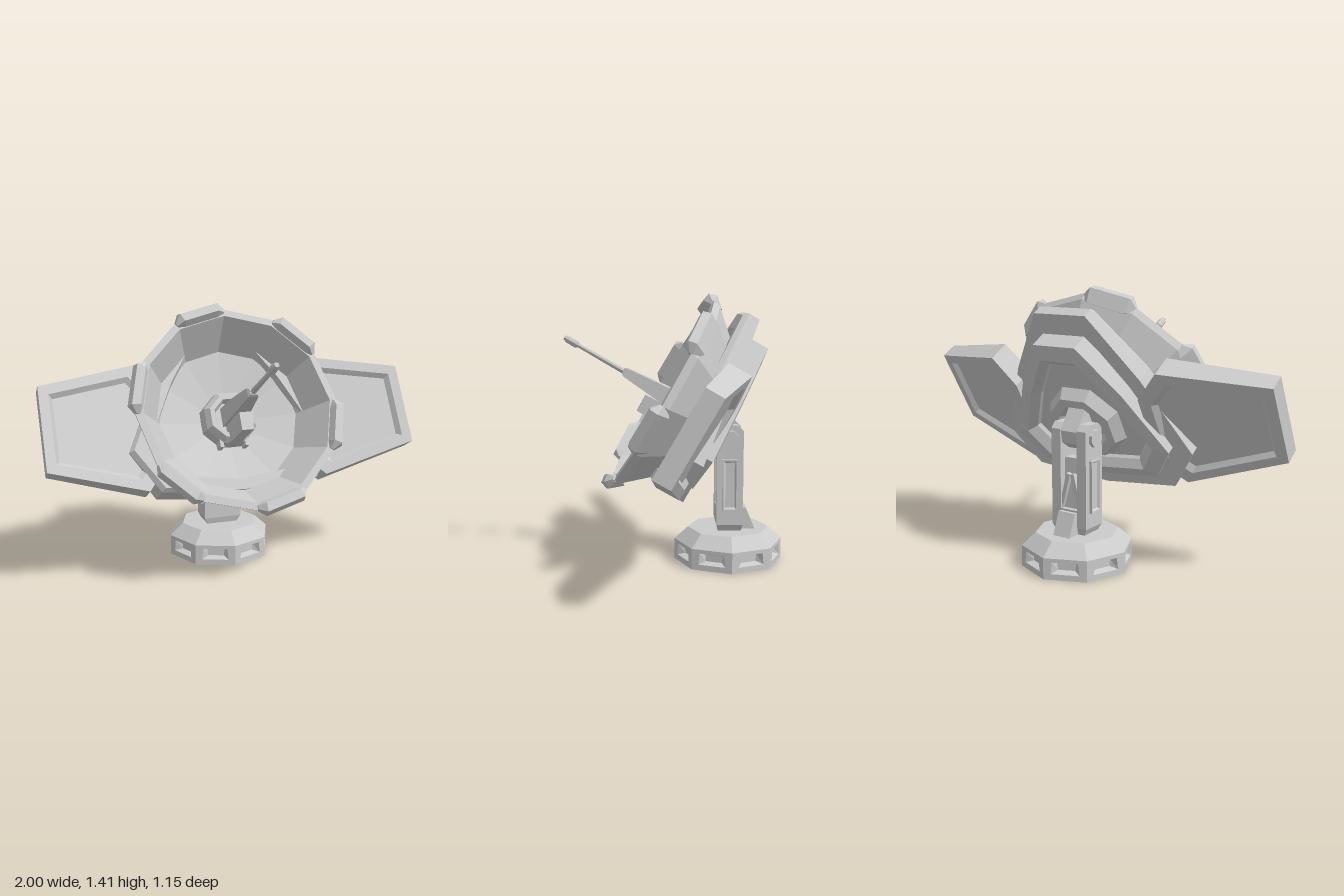
import * as THREE from 'three';

const mat = new THREE.MeshStandardMaterial({ color: 0xcccccc, flatShading: true });

// Skin a list of equal-length loops (counter-clockwise seen from the travel direction)
function loft(name, loops, { start = true, end = true, wrap = false } = {}) {
  const pos = [];
  const tri = (a, b, c) => pos.push(...a, ...b, ...c);
  const n = loops[0].length;
  const all = wrap ? [...loops, loops[0]] : loops;
  for (let j = 0; j < all.length - 1; j++) {
    for (let i = 0; i < n; i++) {
      const k = (i + 1) % n, A = all[j], B = all[j + 1];
      tri(A[i], A[k], B[k]);
      tri(A[i], B[k], B[i]);
    }
  }
  const first = loops[0], last = loops[loops.length - 1];
  for (let i = 1; i < n - 1; i++) {
    if (!wrap && start) tri(first[0], first[i + 1], first[i]);
    if (!wrap && end) tri(last[0], last[i], last[i + 1]);
  }
  const g = new THREE.BufferGeometry();
  g.setAttribute('position', new THREE.Float32BufferAttribute(pos, 3));
  g.computeVertexNormals();
  const mesh = new THREE.Mesh(g, mat);
  mesh.name = name;
  return mesh;
}

// Mirror a loop across x = 0, keeping its winding
const flipX = (loop) => loop.map(([x, y, z]) => [-x, y, z]).reverse();
const mirrored = (loops, s) => (s > 0 ? loops : loops.map(flipX));

// Regular polygon facing +z
const ngon = (n, r, z, phase = 0) => Array.from({ length: n }, (_, i) => {
  const t = phase + (i / n) * Math.PI * 2;
  return [r * Math.cos(t), r * Math.sin(t), z];
});
const lathe = (name, n, profile, phase = 0) =>
  loft(name, profile.map(([r, z]) => ngon(n, r, z, phase)));
// Rectangle facing +z
const rect = (x0, x1, y0, y1, z) => [[x0, y0, z], [x1, y0, z], [x1, y1, z], [x0, y1, z]];

// Octagonal foot with a recessed window in each wall
function makeBase() {
  const g = new THREE.Group();
  g.name = 'base';
  const R = 0.287, H = 0.11;
  const at = (k, r, y) => [r * Math.sin(k * Math.PI / 4), y, r * Math.cos(k * Math.PI / 4)];
  const ring = (r, y) => Array.from({ length: 8 }, (_, k) => at(k, r, y));
  g.add(loft('baseCore', [ring(R, 0), ring(0.22, 0.001), ring(0.22, H), ring(R, H), ring(0.215, 0.175)]));
  for (let k = 0; k < 8; k++) {
    const p = (t, y, r) => {
      const a = at(k, r, y), b = at(k + 1, r, y);
      return [a[0] + (b[0] - a[0]) * t, y, a[2] + (b[2] - a[2]) * t];
    };
    const quad = (tb, tt, y0, y1, r) => [p(tb, y0, r), p(1 - tb, y0, r), p(1 - tt, y1, r), p(tt, y1, r)];
    g.add(loft('baseWindow', [quad(0, 0, 0, H, R), quad(0.17, 0.2, 0.03, 0.09, R),
      quad(0.27, 0.25, 0.042, 0.078, 0.25)], { start: false }));
  }
  return g;
}

// Forked post with pivot bolts; local z = 0 is the post centre
function makePost() {
  const g = new THREE.Group();
  g.name = 'post';
  const foot = (x, z, y) => [[-x, y, z], [x, y, z], [x, y, -z], [-x, y, -z]];
  g.add(loft('postFoot', [foot(0.085, 0.06, 0.17), foot(0.105, 0.07, 0.21), foot(0.105, 0.07, 0.3)]));
  g.add(loft('postWeb', [foot(0.055, 0.045, 0.29), foot(0.055, 0.03, 0.56)]));
  for (const s of [1, -1]) {
    const arm = (x) => [[0.07, 0.29], [-0.07, 0.29], [-0.07, 0.71], [-0.04, 0.74], [0.04, 0.74], [0.07, 0.71]]
      .map(([z, y]) => [x, y, z]);
    g.add(loft('forkArm', mirrored([arm(0.05), arm(0.105)], s)));
    // Raised frame with a sunken panel on the arm's outer face
    const plate = (x, d) => rect(-0.04 + d, 0.04 - d, 0.29 + d, 0.56 - d, x).map(([z, y, xx]) => [xx, y, -z]);
    g.add(loft('armPanel', mirrored([plate(0.1, 0), plate(0.12, 0), plate(0.12, 0.008), plate(0.108, 0.016)], s)));
    const bolt = new THREE.Mesh(new THREE.CylinderGeometry(0.046, 0.046, 0.02, 8), mat);
    bolt.name = 'pivotBolt';
    bolt.rotation.set(Math.PI / 8, 0, Math.PI / 2);
    bolt.position.set(s * 0.114, 0.67, 0);
    g.add(bolt);
  }
  // Sloping bars crossing the fork front and back
  for (const z of [0.045, -0.045]) for (const s of [1, -1]) {
    const bar = new THREE.Mesh(new THREE.BoxGeometry(0.022, 0.19, 0.03), mat);
    bar.name = 'forkBrace';
    bar.position.set(s * 0.035, 0.39, z);
    bar.rotation.z = s * 0.25;
    g.add(bar);
  }
  // Buttress behind the post
  const fin = (x) => [[-0.06, 0.17], [-0.14, 0.17], [-0.09, 0.29], [-0.06, 0.29]].map(([z, y]) => [x, y, z]);
  g.add(loft('buttress', [fin(-0.05), fin(0.05)]));
  return g;
}

// Twelve-sided bowl, alternate rim segments thickened
function makeDish() {
  const g = new THREE.Group();
  g.name = 'dish';
  g.position.y = 0.02;
  g.add(lathe('bowl', 12, [[0.13, 0.12], [0.42, 0.25], [0.54, 0.385], [0.55, 0.425], [0.51, 0.43], [0.385, 0.235], [0.12, 0.17]]));
  const section = [[0.495, 0.405], [0.525, 0.47], [0.57, 0.467], [0.585, 0.425], [0.535, 0.365]];
  const slice = (deg, s) => section.map(([r, a]) => {
    const t = deg * Math.PI / 180, q = 0.53 + (r - 0.53) * s;
    return [q * Math.cos(t), q * Math.sin(t), 0.415 + (a - 0.415) * s];
  });
  for (let k = 0; k < 6; k++) {
    const d = 60 * k + 30;
    g.add(loft('rimBlock', [slice(d, 0.4), slice(d + 4, 1), slice(d + 26, 1), slice(d + 30, 0.4)]));
  }
  // Feed hub, antenna and receiver box
  const E = Math.PI / 8;
  g.add(lathe('feedHub', 8, [[0.16, 0.15], [0.15, 0.25], [0.125, 0.285], [0.1, 0.285], [0.085, 0.25]], E));
  const sq = (w, h, z) => rect(-w, w, -h, h, z);
  g.add(loft('antennaArm', [sq(0.05, 0.05, 0.22), sq(0.048, 0.045, 0.4), sq(0.028, 0.024, 0.64), sq(0.018, 0.016, 0.655)]));
  g.add(lathe('antennaRod', 8, [[0.016, 0.6], [0.011, 0.94]]));
  g.add(lathe('antennaTip', 8, [[0.011, 0.92], [0.021, 0.935], [0.019, 0.985], [0.012, 1.005]]));
  g.add(loft('receiverBox', [rect(-0.032, 0.032, -0.145, -0.03, 0.15), rect(-0.032, 0.032, -0.145, -0.05, 0.49)]));
  for (const s of [1, -1]) {
    const lug = new THREE.Mesh(new THREE.BoxGeometry(0.02, 0.05, 0.1), mat);
    lug.name = 'receiverLug';
    lug.position.set(s * 0.07, -0.135, 0.2);
    g.add(lug);
  }
  return g;
}

// Shield-shaped frames behind the dish, with the pivot mount
function makeBackFrame() {
  const g = new THREE.Group();
  g.name = 'backFrame';
  const half = [[0.43, -0.35], [0.57, -0.13], [0.53, -0.05], [0.37, 0.27], [0.15, 0.6]];
  const outline = [[0, -0.4], ...half, ...half.map(([x, y]) => [-x, y]).reverse()];
  const shield = (s, a) => outline.map(([x, y]) => {
    const v = 0.02 + (y - 0.02) * s;
    return [x * s, v, typeof a === 'function' ? a(v) : a];
  });
  const lean = (v) => 0.13 + 0.1 * v;
  g.add(loft('outerFrame', [shield(1, lean), shield(1, 0.25), shield(0.96, 0.275), shield(0.82, 0.275),
    shield(0.76, lean)], { wrap: true }));
  g.add(loft('innerFrame', [shield(0.82, 0.075), shield(0.82, 0.17), shield(0.56, 0.17), shield(0.6, 0.1),
    shield(0.68, 0.06)], { wrap: true }));
  g.add(loft('backPlate', [shield(0.66, 0.12), shield(0.66, 0.17)]));
  g.add(lathe('mountRing', 8, [[0.11, 0.09], [0.14, 0.06], [0.19, 0.06], [0.23, 0.13]], Math.PI / 8));
  // Tongue held between the fork arms
  const tongue = (x) => [[-0.06, -0.03], [-0.05, 0.1], [0.13, 0.1], [0.06, -0.04], [0, -0.06]]
    .map(([y, z]) => [x, y, z]).reverse();
  g.add(loft('pivotTongue', [tongue(-0.05), tongue(0.05)]));
  return g;
}

// Side panels, angled forward toward the tips and sunken on both faces
function makeWing(s) {
  const outline = [[0.37, -0.2], [0.49, -0.34], [1, -0.22], [1, 0.225], [0.49, 0.345], [0.37, 0.2]];
  const ring = (inset, face, sink) => outline.map(([x, y]) => {
    const px = 0.7 + (x - 0.7) * (1 - inset / 0.3), py = y * (1 - inset / 0.27);
    const a = face > 0 ? 0.25 + (px - 0.49) * 0.18 : 0.125 + (px - 0.49) * 0.24;
    return [px, py, a - face * sink];
  });
  const loops = [ring(0.07, -1, 0.025), ring(0.05, -1, 0), ring(0, -1, 0),
    ring(0, 1, 0), ring(0.05, 1, 0), ring(0.07, 1, 0.025)];
  return loft(s > 0 ? 'leftWing' : 'rightWing', mirrored(loops, s));
}

export function createModel() {
  const model = new THREE.Group();
  model.name = 'dishAntenna';
  const stand = new THREE.Group();
  stand.name = 'stand';
  stand.position.z = -0.288;
  stand.add(makeBase(), makePost());
  // Head tilts back 30 degrees about the pivot
  const head = new THREE.Group();
  head.name = 'head';
  head.position.set(0, 0.67, -0.29);
  head.rotation.x = -Math.PI / 6;
  head.add(makeDish(), makeBackFrame(), makeWing(1), makeWing(-1));
  model.add(stand, head);
  return model;
}
